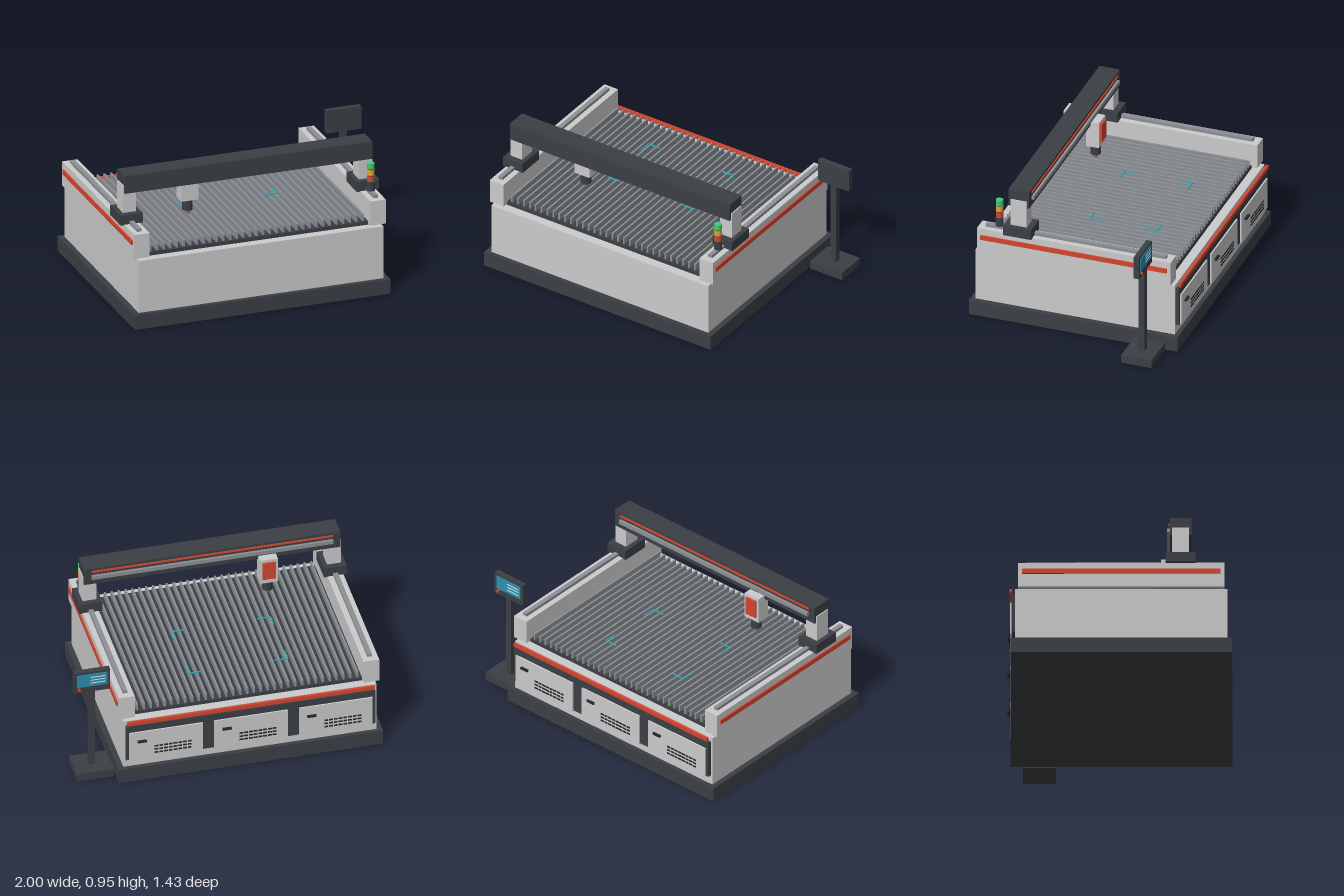
import * as THREE from 'three';

const paint = (color) => new THREE.MeshStandardMaterial({ color });
const LIGHT = paint(0xcccccc), DARK = paint(0x3b4045), STEEL = paint(0x8c9196), BLACK = paint(0x25282b);
const RED = paint(0xd64530), YELLOW = paint(0xe0a82e), GREEN = paint(0x45c873);
const CYAN = paint(0x2fa9b8), SCREEN = paint(0x2f8fae), COPPER = paint(0xb8743a), PALE = paint(0xd8eef2);

// Box given by its min and max on each axis
function box(parent, name, mat, x0, x1, y0, y1, z0, z1) {
  const mesh = new THREE.Mesh(new THREE.BoxGeometry(x1 - x0, y1 - y0, z1 - z0), mat);
  mesh.position.set((x0 + x1) / 2, (y0 + y1) / 2, (z0 + z1) / 2);
  mesh.name = name;
  parent.add(mesh);
  return mesh;
}

// Upright cylinder from y0 to y1
function post(parent, name, mat, x, z, y0, y1, rTop, rBottom = rTop) {
  const mesh = new THREE.Mesh(new THREE.CylinderGeometry(rTop, rBottom, y1 - y0, 24), mat);
  mesh.position.set(x, (y0 + y1) / 2, z);
  mesh.name = name;
  parent.add(mesh);
  return mesh;
}

function group(parent, name, x = 0) {
  const g = new THREE.Group();
  g.name = name;
  g.position.x = x;
  parent.add(g);
  return g;
}

export function createModel() {
  const model = new THREE.Group();
  model.name = 'cuttingMachine';
  // The machine is centred left of the stand
  const machine = group(model, 'machine', -0.125);

  // Plinth, body and cutting bed
  box(machine, 'plinth', DARK, -0.865, 0.865, 0, 0.1, -0.695, 0.713);
  box(machine, 'body', LIGHT, -0.828, 0.828, 0.1, 0.456, -0.665, 0.683);
  box(machine, 'bed', DARK, -0.815, 0.815, 0.456, 0.48, -0.605, 0.622);

  // Bed slats
  const slats = group(machine, 'slats');
  for (let i = 0; i < 33; i++) {
    const x = -0.72 + i * 0.045;
    box(slats, 'slat', STEEL, x - 0.006, x + 0.006, 0.48, 0.525, -0.6, 0.61);
  }

  // Corner marks of the work area
  const marks = group(machine, 'cornerMarks');
  for (const sx of [-1, 1]) for (const sz of [-1, 1]) {
    const x = sx * 0.325, z = -0.133 + sz * 0.228;
    const xi = x - sx * 0.085, zi = z - sz * 0.085;
    box(marks, 'markBar', CYAN, Math.min(x, xi), Math.max(x, xi), 0.525, 0.531, z - 0.004, z + 0.004);
    box(marks, 'markBar', CYAN, x - 0.004, x + 0.004, 0.525, 0.531, Math.min(z, zi), Math.max(z, zi));
  }

  // Side rails with stripe, guide, carriage and column
  for (const s of [-1, 1]) {
    const side = group(machine, s > 0 ? 'leftSide' : 'rightSide', s * 0.8);
    box(side, 'sideRail', LIGHT, -0.052, 0.052, 0.465, 0.63, -0.645, 0.664);
    box(side, 'sideStripe', RED, s * 0.055 - 0.006, s * 0.055 + 0.006, 0.553, 0.585, -0.62, 0.64);
    box(side, 'guideRail', STEEL, -0.015, 0.015, 0.63, 0.65, -0.6, 0.62);
    box(side, 'carriage', DARK, -0.075, 0.075, 0.627, 0.695, 0.29, 0.48);
    box(side, 'column', LIGHT, -0.045, 0.045, 0.695, 0.88, 0.33, 0.44);
  }

  // Gantry beam with stripe and guide on its back
  const gantry = group(machine, 'gantry');
  box(gantry, 'beam', DARK, -0.838, 0.838, 0.83, 0.95, 0.317, 0.455);
  box(gantry, 'beamStripe', RED, -0.79, 0.79, 0.92, 0.932, 0.31, 0.318);
  box(gantry, 'beamGuide', STEEL, -0.79, 0.79, 0.873, 0.9, 0.3, 0.318);

  // Cutting head
  const head = group(machine, 'cuttingHead', -0.358);
  box(head, 'headHousing', LIGHT, -0.058, 0.058, 0.674, 0.855, 0.26, 0.35);
  box(head, 'headCover', RED, -0.042, 0.042, 0.71, 0.836, 0.248, 0.261);
  post(head, 'headBarrel', DARK, 0, 0.305, 0.6, 0.676, 0.034);
  post(head, 'nozzle', COPPER, 0, 0.305, 0.572, 0.6, 0.018, 0.012);

  // Signal tower
  const tower = group(machine, 'signalTower', 0.8);
  post(tower, 'towerBase', DARK, 0, 0.53, 0.65, 0.708, 0.026);
  [RED, YELLOW, GREEN].forEach((mat, i) => {
    const y = 0.714 + i * 0.043;
    post(tower, 'lamp', mat, 0, 0.53, y, y + 0.037, 0.024);
    post(tower, 'lampCollar', DARK, 0, 0.53, y - 0.006, y, 0.021);
  });

  // Back cabinet with three doors
  const cabinet = group(machine, 'backCabinet');
  box(cabinet, 'backFrame', DARK, -0.815, 0.815, 0.165, 0.425, -0.688, -0.66);
  box(cabinet, 'backStripe', RED, -0.81, 0.81, 0.44, 0.466, -0.7, -0.683);
  for (const x of [-0.555, 0, 0.555]) {
    const door = group(cabinet, 'door', x);
    box(door, 'doorPanel', LIGHT, -0.24, 0.24, 0.163, 0.378, -0.698, -0.685);
    box(door, 'doorHandle', BLACK, 0.13, 0.188, 0.303, 0.316, -0.713, -0.697);
    for (let row = 0; row < 3; row++) {
      const y = 0.2 + row * 0.025;
      for (let i = 0; i < 8; i++) {
        const vx = -0.165 + i * 0.031;
        box(door, 'vent', BLACK, vx, vx + 0.024, y, y + 0.01, -0.702, -0.697);
      }
    }
  }

  // Control stand, its screen facing the back
  const stand = group(model, 'controlStand', 0.873);
  box(stand, 'standFoot', DARK, -0.122, 0.122, 0, 0.055, -0.615, -0.408);
  box(stand, 'standPost', DARK, -0.02, 0.02, 0.055, 0.66, -0.53, -0.49);
  box(stand, 'console', DARK, -0.118, 0.118, 0.63, 0.785, -0.528, -0.492);
  box(stand, 'screen', SCREEN, -0.1, 0.1, 0.675, 0.768, -0.533, -0.527);
  for (let i = 0; i < 3; i++) {
    const y = 0.697 + i * 0.022;
    box(stand, 'screenLine', PALE, -0.085, 0.01, y, y + 0.006, -0.535, -0.532);
  }
  const button = post(stand, 'stopButton', RED, 0.085, -0.534, 0.655, 0.669, 0.01);
  button.rotation.x = Math.PI / 2;
  button.position.y = 0.658;

  return model;
}
